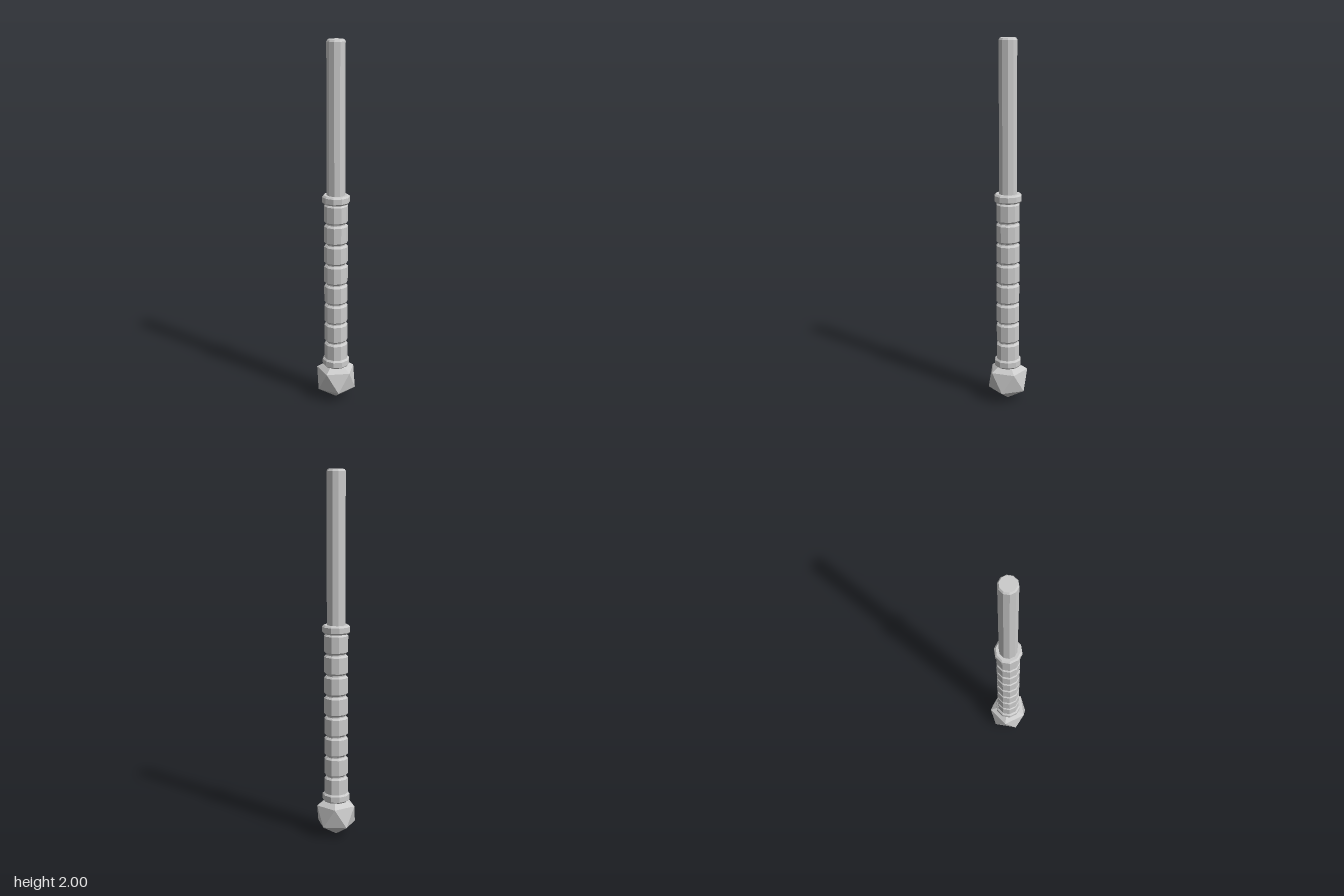
import * as THREE from 'three';

const SIDES = 10;
const material = new THREE.MeshStandardMaterial({ color: 0xcccccc, flatShading: true });

function add(group, name, geometry) {
  const mesh = new THREE.Mesh(geometry, material);
  mesh.name = name;
  group.add(mesh);
  return mesh;
}

// Closed ten-sided cylinder with chamfered rims, from y0 up to y1
function chamferedCylinder(radius, y0, y1, inset, rise) {
  const profile = [
    [0, y0], [radius - inset, y0], [radius, y0 + rise],
    [radius, y1 - rise], [radius - inset, y1], [0, y1],
  ].map(([x, y]) => new THREE.Vector2(x, y));
  return new THREE.LatheGeometry(profile, SIDES);
}

export function createModel() {
  const model = new THREE.Group();
  model.name = 'batonHandle';

  // Faceted pommel, one vertex pointing straight down
  const pommel = new THREE.IcosahedronGeometry(0.121, 0);
  pommel.rotateZ(-Math.atan(2 / (1 + Math.sqrt(5))));
  pommel.translate(0, 0.121, 0);
  add(model, 'pommel', pommel);

  // Collars at both ends of the grip
  add(model, 'lowerCollar', chamferedCylinder(0.075, 0.198, 0.246, 0.009, 0.009));
  add(model, 'upperCollar', chamferedCylinder(0.075, 1.137, 1.184, 0.009, 0.009));

  // Grip: slim core carrying eight chamfered rings
  const grip = new THREE.Group();
  grip.name = 'grip';
  model.add(grip);
  add(grip, 'gripCore', chamferedCylinder(0.053, 0.18, 1.16, 0.005, 0.005));
  const pitch = 0.1138;
  for (let i = 0; i < 8; i++) {
    const top = 1.135 - i * pitch;
    add(grip, 'gripRing' + (i + 1), chamferedCylinder(0.065, top - 0.107, top, 0.01, 0.01));
  }

  // Long plain shaft
  add(model, 'shaft', chamferedCylinder(0.05, 1.15, 2, 0.007, 0.01));

  return model;
}
